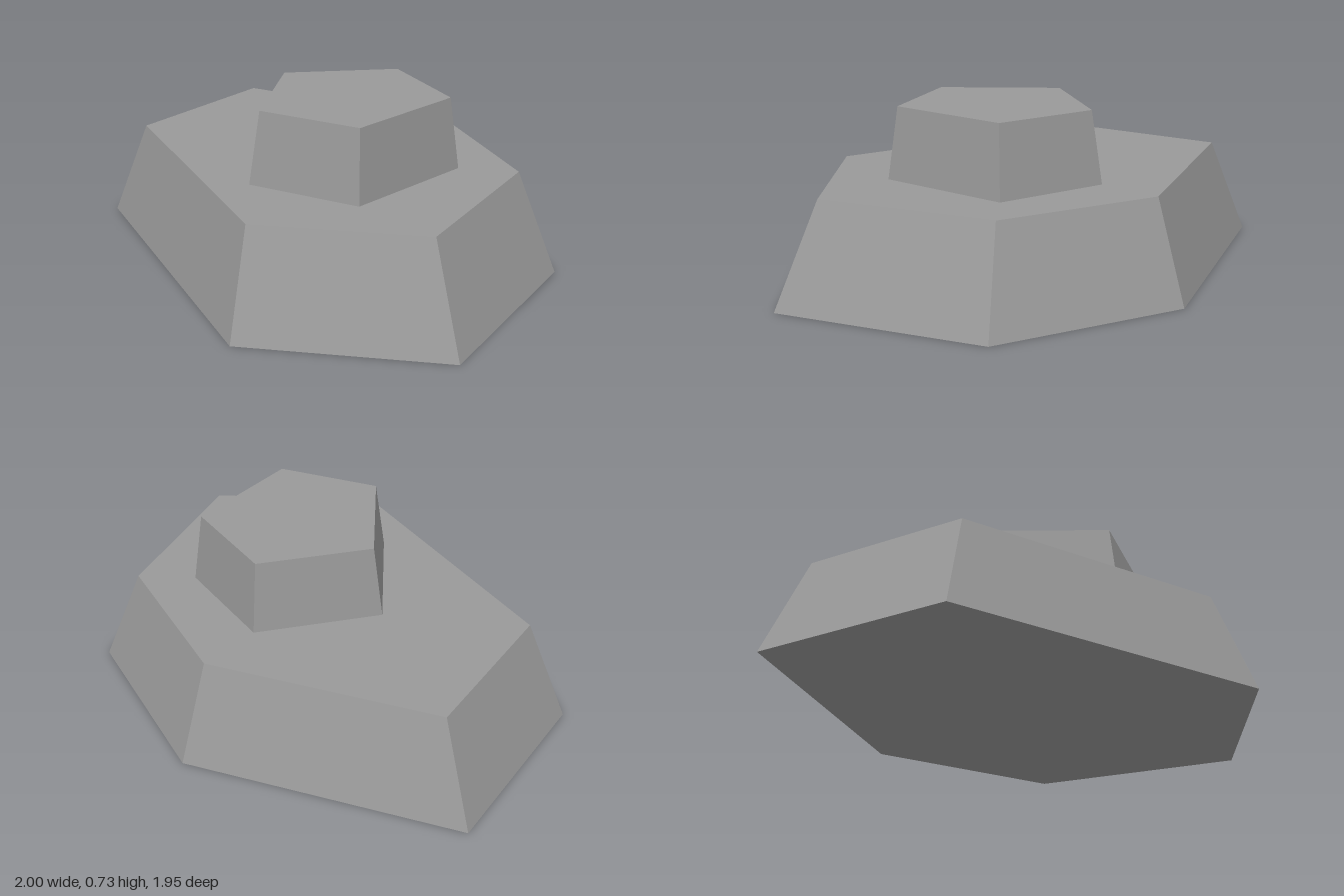
import * as THREE from 'three';

const stone = new THREE.MeshStandardMaterial({ color: 0x999999 });
stone.name = 'stone grey';

// Tapered prism: outline is [x, z] corners, clockwise from above; the top is scaled about centre
function taperedBlock(name, outline, y0, y1, scale, [cx, cz]) {
  const bottom = outline.map(([x, z]) => [x, y0, z]);
  const top = outline.map(([x, z]) => [cx + (x - cx) * scale, y1, cz + (z - cz) * scale]);
  const n = outline.length;
  const positions = [];
  const tri = (a, b, c) => positions.push(...a, ...b, ...c);

  // sloping sides
  for (let i = 0; i < n; i++) {
    const j = (i + 1) % n;
    tri(bottom[j], bottom[i], top[i]);
    tri(bottom[j], top[i], top[j]);
  }
  // flat caps
  for (let i = 1; i < n - 1; i++) {
    tri(top[0], top[i + 1], top[i]);
    tri(bottom[0], bottom[i], bottom[i + 1]);
  }

  const geometry = new THREE.BufferGeometry();
  geometry.setAttribute('position', new THREE.Float32BufferAttribute(positions, 3));
  geometry.computeVertexNormals();
  const mesh = new THREE.Mesh(geometry, stone);
  mesh.name = name;
  return mesh;
}

export function createModel() {
  const group = new THREE.Group();
  group.name = 'steppedRock';

  // wide six-sided lower slab
  const slab = [[-1, -0.237], [-0.572, -0.976], [0.567, -0.62], [0.996, 0.12], [0.668, 0.972], [-0.187, 0.972]];
  group.add(taperedBlock('lowerSlab', slab, 0, 0.427, 0.83, [0, 0]));

  // small five-sided block on top, set off centre
  const block = [[-0.226, -0.148], [0.294, -0.298], [0.58, 0.098], [0.238, 0.572], [-0.226, 0.42]];
  group.add(taperedBlock('upperBlock', block, 0.427, 0.73, 0.9, [0.178, 0.14]));

  return group;
}
